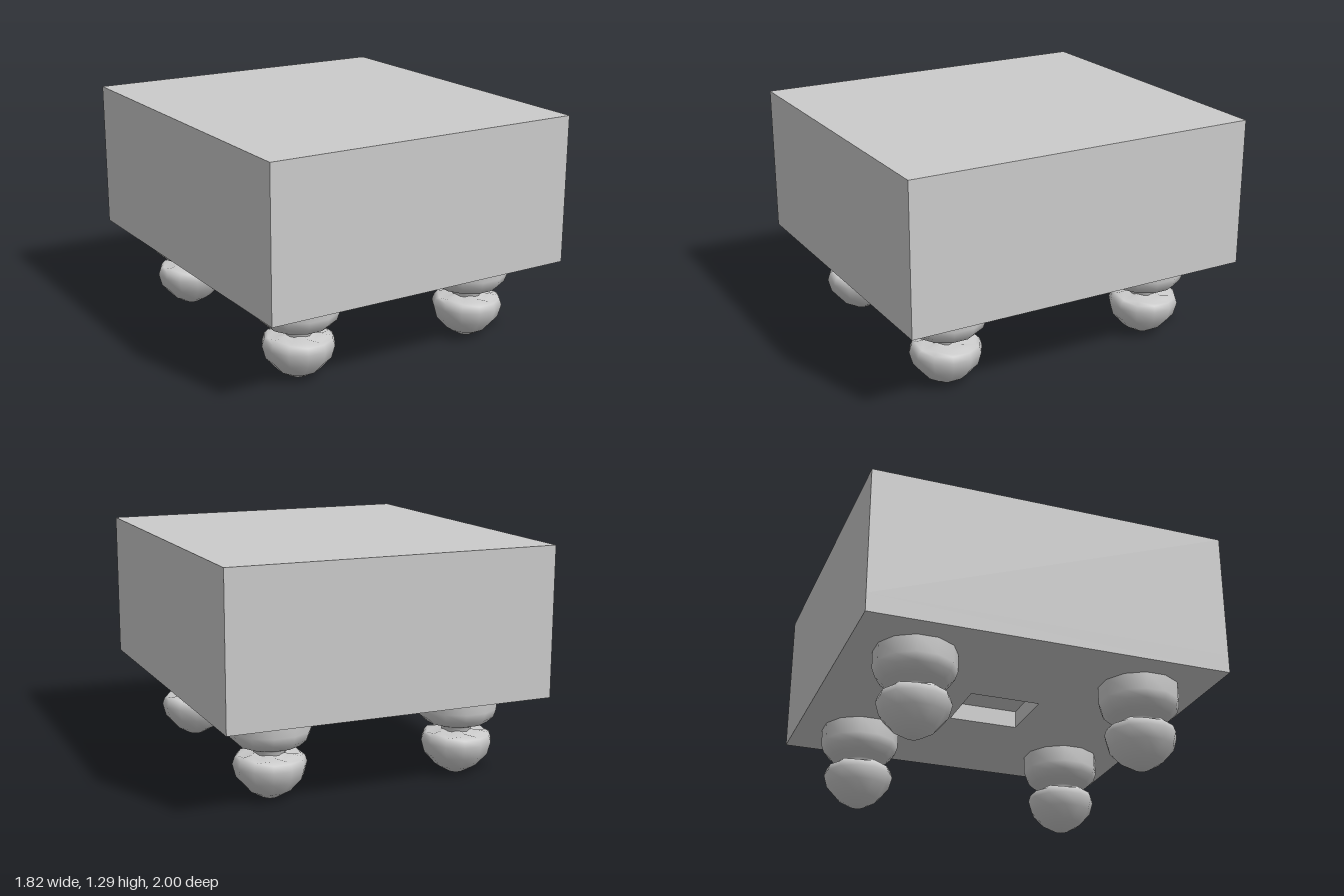
import * as THREE from 'three';
import { mergeVertices } from 'three/addons/utils/BufferGeometryUtils.js';

const W = 1.82, D = 2, BOTTOM = 0.47, TOP = 1.29, RECESS = 0.1;
const grey = new THREE.MeshStandardMaterial({ color: 0xcccccc, side: THREE.DoubleSide });

function part(name, geometry, parent) {
  const mesh = new THREE.Mesh(geometry, grey);
  mesh.name = name;
  parent.add(mesh);
  return mesh;
}

// Smooth turned form; every second vertex can be shifted for a scalloped rim
// profile rows: [radius, y, scallop]
function turned(profile) {
  const sides = 12, rows = profile.length;
  const points = profile.map(([r, y]) => new THREE.Vector2(r, y));
  let geometry = new THREE.LatheGeometry(points, sides, Math.PI / sides);
  const pos = geometry.attributes.position;
  for (let i = 0; i < pos.count; i++) {
    const wave = Math.floor(i / rows) % 2 ? 1 : -1;
    pos.setY(i, pos.getY(i) + wave * (profile[i % rows][2] || 0));
  }
  geometry.deleteAttribute('uv');
  geometry.deleteAttribute('normal');
  geometry = mergeVertices(geometry, 1e-4);
  geometry.computeVertexNormals();
  return geometry;
}

function rectangle(target, w, d) {
  target.moveTo(-w / 2, -d / 2);
  target.lineTo(w / 2, -d / 2);
  target.lineTo(w / 2, d / 2);
  target.lineTo(-w / 2, d / 2);
  target.closePath();
  return target;
}

export function createModel() {
  const model = new THREE.Group();
  model.name = 'footstool';

  // Upper body
  const bodyHeight = TOP - BOTTOM - RECESS;
  part('body', new THREE.BoxGeometry(W, bodyHeight, D), model).position.y = TOP - bodyHeight / 2;

  // Lower body with a square recess in the underside
  const outline = rectangle(new THREE.Shape(), W, D);
  outline.holes.push(rectangle(new THREE.Path(), 0.36, 0.4));
  const base = new THREE.ExtrudeGeometry(outline, { depth: RECESS, bevelEnabled: false });
  base.rotateX(-Math.PI / 2);
  part('recessedBase', base, model).position.y = BOTTOM;

  // Turned legs: a rounded cup with a narrow neck above a bulbous foot
  const cup = turned([
    [0.08, 0.22], [0.085, 0.262], [0.1, 0.272], [0.17, 0.295],
    [0.207, 0.33], [0.222, 0.375], [0.222, 0.475],
  ]);
  const foot = turned([
    [0, 0], [0.045, 0.004], [0.115, 0.045], [0.178, 0.115], [0.197, 0.185],
    [0.185, 0.222], [0.165, 0.235, 0.007], [0.115, 0.238, 0.01], [0.07, 0.25],
  ]);
  for (const x of [-0.55, 0.55]) {
    for (const z of [-0.635, 0.635]) {
      const leg = new THREE.Group();
      leg.name = (z > 0 ? 'front' : 'back') + (x > 0 ? 'Left' : 'Right') + 'Leg';
      part('legCup', cup, leg);
      part('legFoot', foot, leg);
      leg.position.set(x, 0, z);
      model.add(leg);
    }
  }
  return model;
}
